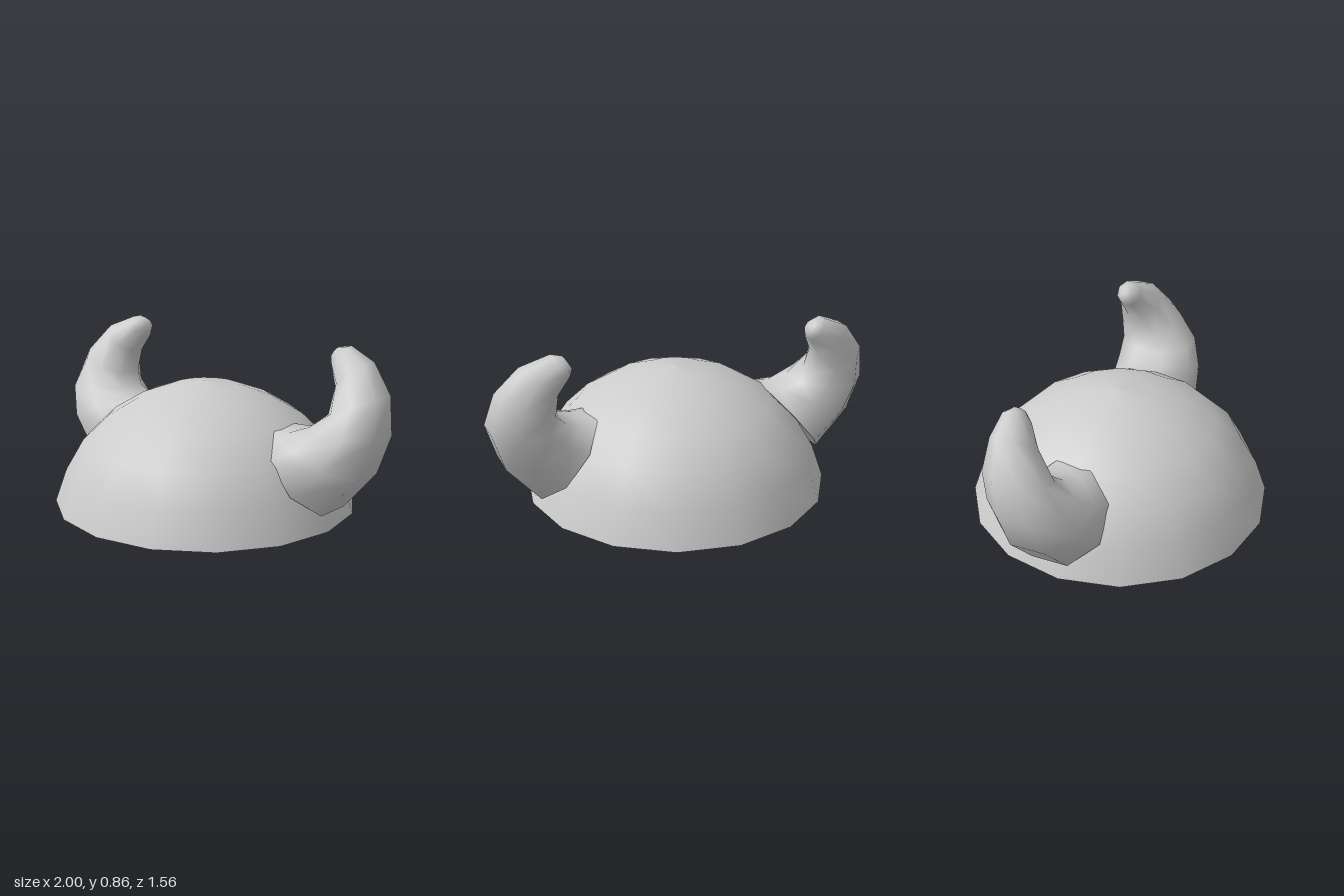
import * as THREE from 'three';

const material = new THREE.MeshStandardMaterial({ color: 0xcccccc, side: THREE.DoubleSide });
const SIDES = 8;

// Horn cross-sections, base to tip: inner x, y, outer x, y, centre z, half depth in z
const HORN = [
  [0.47, 0.455, 0.77, 0.09, -0.045, 0.225],
  [0.55, 0.455, 0.94, 0.29, -0.065, 0.215],
  [0.64, 0.49, 1.0, 0.48, -0.095, 0.19],
  [0.7, 0.55, 0.96, 0.66, -0.15, 0.155],
  [0.69, 0.67, 0.85, 0.8, -0.195, 0.105],
  [0.635, 0.755, 0.71, 0.86, -0.225, 0.065],
  [0.62, 0.79, 0.655, 0.85, -0.23, 0.035],
];

function mesh(geometry, name) {
  const m = new THREE.Mesh(geometry, material);
  m.name = name;
  return m;
}

// Eight-sided horn lofted through the cross-sections; side is +1 or -1 in x
function hornGeometry(side) {
  const pos = [], index = [];
  const tri = (a, b, c) => index.push(...(side > 0 ? [a, b, c] : [a, c, b]));
  const centre = ([ix, iy, ox, oy, z]) => [side * (ix + ox) / 2, (iy + oy) / 2, z];
  const addRing = (ring) => {
    const [ix, iy, ox, oy, , depth] = ring;
    const [cx, cy, cz] = centre(ring);
    const k = 1 / Math.cos(Math.PI / SIDES); // flats, not corners, meet the extents
    for (let j = 0; j < SIDES; j++) {
      const a = ((j + 0.5) / SIDES) * Math.PI * 2;
      const c = k * Math.cos(a) / 2;
      pos.push(cx + side * (ox - ix) * c, cy + (oy - iy) * c, cz + depth * k * Math.sin(a));
    }
  };

  // Wall
  HORN.forEach(addRing);
  for (let i = 0; i < HORN.length - 1; i++) {
    for (let j = 0; j < SIDES; j++) {
      const n = (j + 1) % SIDES;
      const a = i * SIDES + j, b = i * SIDES + n;
      tri(a, a + SIDES, b);
      tri(b, a + SIDES, b + SIDES);
    }
  }

  // Rounded tip
  const last = (HORN.length - 1) * SIDES;
  const tip = pos.length / 3;
  pos.push(...centre(HORN[HORN.length - 1]));
  for (let j = 0; j < SIDES; j++) tri(last + j, tip, last + (j + 1) % SIDES);

  // Flat base with its own vertices, so its edge stays sharp
  const base = pos.length / 3;
  addRing(HORN[0]);
  pos.push(...centre(HORN[0]));
  for (let j = 0; j < SIDES; j++) tri(base + SIDES, base + j, base + (j + 1) % SIDES);

  const g = new THREE.BufferGeometry();
  g.setAttribute('position', new THREE.Float32BufferAttribute(pos, 3));
  g.setIndex(index);
  g.computeVertexNormals();
  return g;
}

export function createModel() {
  const model = new THREE.Group();
  model.name = 'hornedHelmet';

  // Sixteen-sided dome with a flat underside
  const profile = [
    [0.78, 0], [0.72, 0.17], [0.63, 0.325], [0.5, 0.45], [0.34, 0.545], [0.17, 0.607], [0, 0.628],
  ].map(([r, y]) => new THREE.Vector2(r, y));
  model.add(mesh(new THREE.LatheGeometry(profile, 16), 'dome'));
  model.add(mesh(new THREE.CircleGeometry(0.78, 16).rotateX(Math.PI / 2), 'underside'));

  // Mirrored horns
  model.add(mesh(hornGeometry(1), 'leftHorn'), mesh(hornGeometry(-1), 'rightHorn'));
  return model;
}
